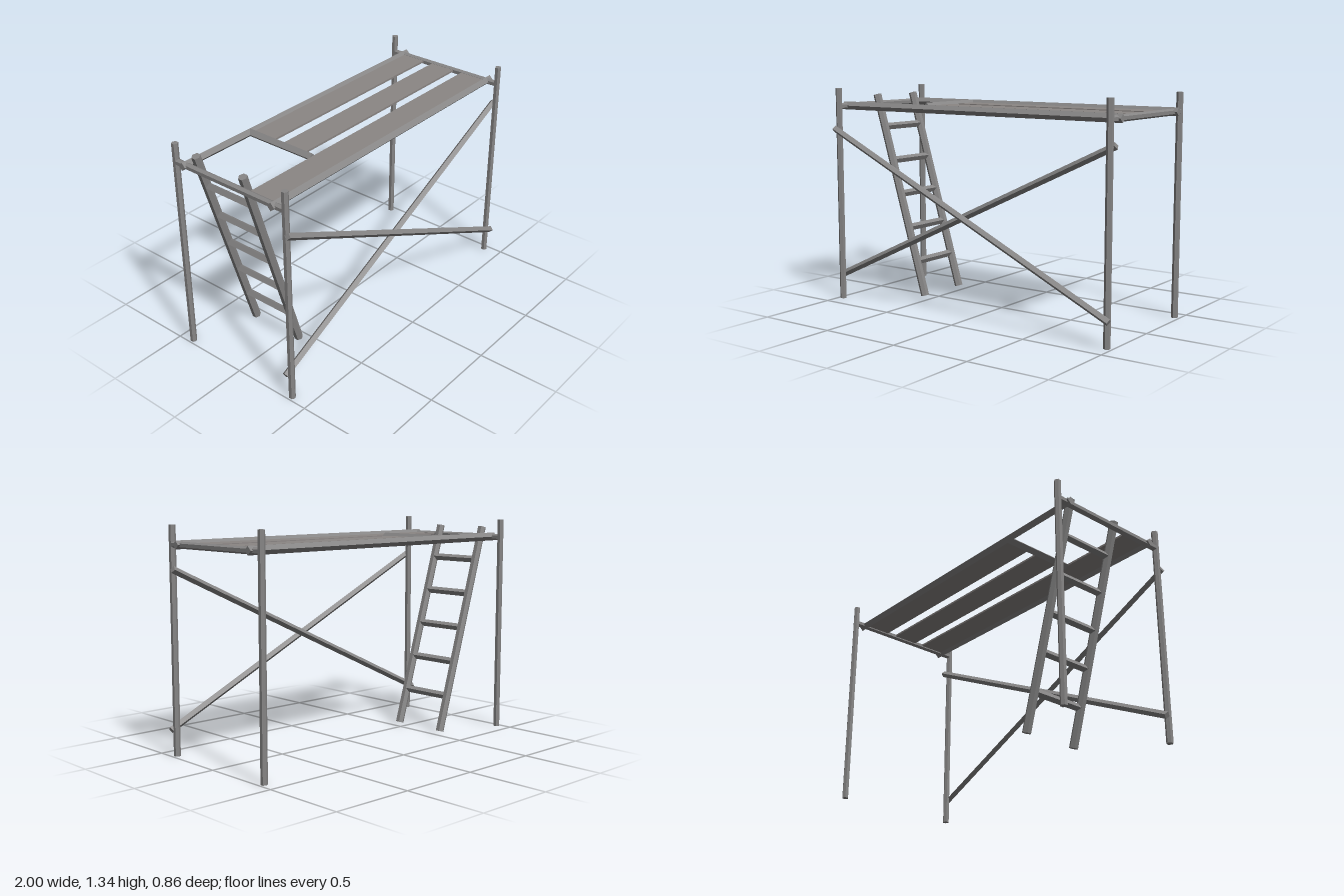
import * as THREE from 'three';

export function createModel() {
  const group = new THREE.Group();
  const steel = new THREE.MeshStandardMaterial({ color: 0x868585, flatShading: true });
  const wood = new THREE.MeshStandardMaterial({ color: 0x8b8684, flatShading: true });
  const Z = [0, 0, 1], Y = [0, 1, 0];

  // Faceted bar from a to b, with one edge of its section pointing along "edge"
  function bar(name, a, b, radius, sides, edge) {
    const start = new THREE.Vector3(...a), end = new THREE.Vector3(...b);
    const along = end.clone().sub(start);
    const geometry = new THREE.CylinderGeometry(radius, radius, along.length(), sides);
    along.normalize();
    const side = new THREE.Vector3().crossVectors(along, new THREE.Vector3(...edge)).normalize();
    const up = new THREE.Vector3().crossVectors(side, along);
    const mesh = new THREE.Mesh(geometry, steel);
    mesh.name = name;
    mesh.quaternion.setFromRotationMatrix(new THREE.Matrix4().makeBasis(side, along, up));
    mesh.position.copy(start).lerp(end, 0.5);
    group.add(mesh);
  }

  function plank(name, x0, x1, z0, z1) {
    const mesh = new THREE.Mesh(new THREE.BoxGeometry(x1 - x0, 0.012, z1 - z0), wood);
    mesh.name = name;
    mesh.position.set((x0 + x1) / 2, 1.226, (z0 + z1) / 2);
    group.add(mesh);
  }

  // Upright poles and the end bars joining them
  const deckY = 1.223;
  for (const x of [-0.972, 0.968]) {
    for (const z of [0.386, -0.41]) bar('pole', [x, 0, z], [x, 1.335, z], 0.02, 6, Z);
    bar('endBar', [x, deckY, 0.386], [x, deckY, -0.41], 0.02, 6, Y);
  }

  // Long rails and the short bar beside the hatch
  for (const z of [0.31, -0.337]) bar('longRail', [-1, 1.225, z], [1, 1.225, z], 0.025, 4, Z);
  bar('hatchBar', [-0.478, 1.225, 0.13], [-0.478, 1.225, -0.335], 0.025, 4, Y);

  // Deck planks
  plank('frontPlank', -0.97, 0.955, 0.13, 0.305);
  plank('middlePlank', -0.478, 0.955, -0.097, 0.067);
  plank('backPlank', -0.478, 0.955, -0.335, -0.165);

  // Crossed braces either side of the front poles
  bar('outerBrace', [-0.99, 1.085, 0.41], [0.99, 0.152, 0.41], 0.021, 4, Z);
  bar('innerBrace', [-0.99, 0.152, 0.357], [0.99, 1.085, 0.357], 0.021, 4, Z);

  // Leaning ladder, its rungs turned to match the lean
  const top = [-0.943, 1.285], foot = [-0.56, 0.01];
  const lean = [top[0] - foot[0], top[1] - foot[1], 0];
  for (const z of [0.065, -0.283]) bar('ladderRail', [...top, z], [...foot, z], 0.026, 6, Z);
  for (let i = 0; i < 5; i++) {
    const y = 0.227 + i * 0.2135;
    const x = foot[0] + lean[0] * (y - foot[1]) / lean[1];
    bar('ladderRung', [x, y, 0.06], [x, y, -0.283], 0.022, 4, lean);
  }
  return group;
}
